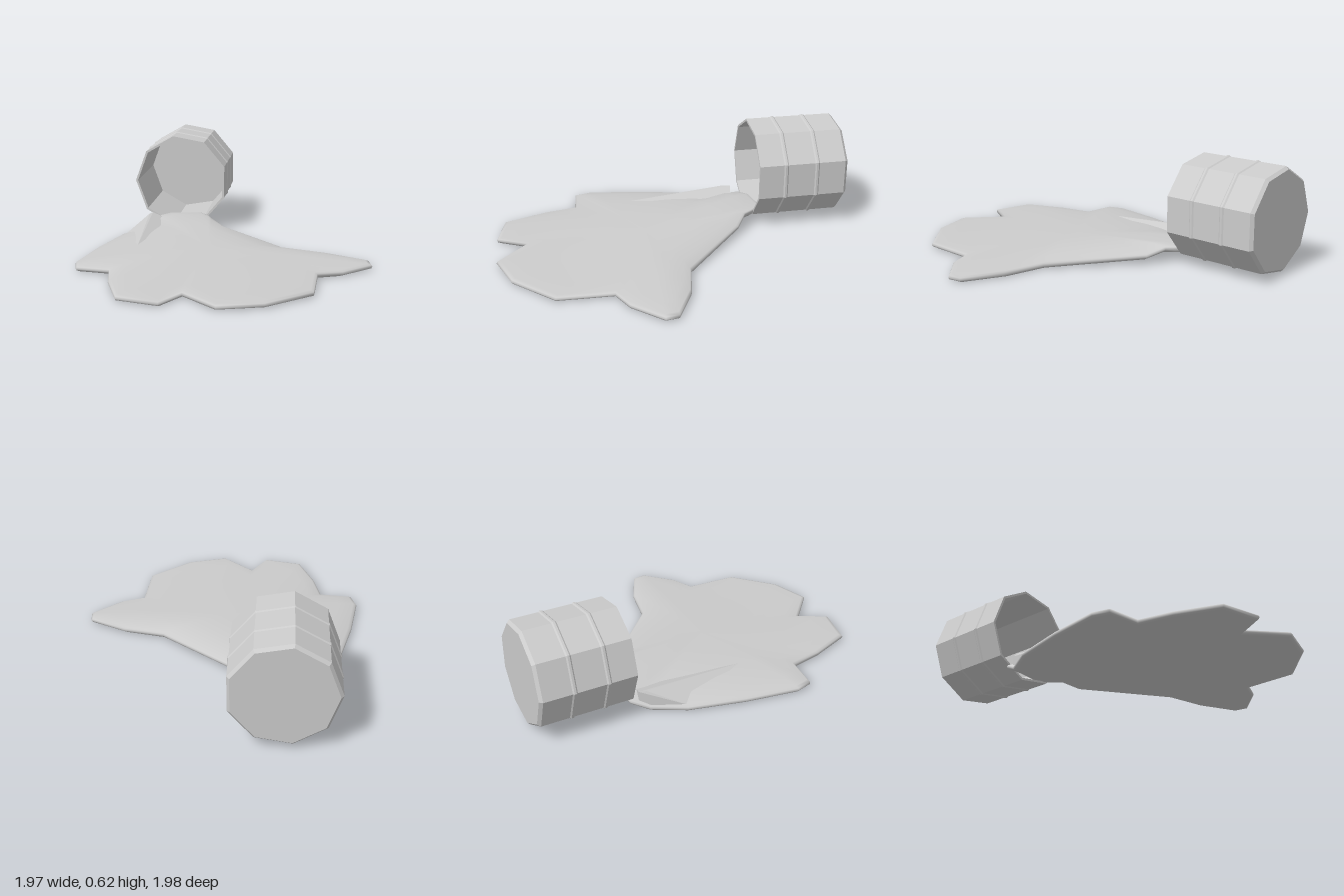
import * as THREE from 'three';
import { mergeVertices } from 'three/addons/utils/BufferGeometryUtils.js';
import { ConvexGeometry } from 'three/addons/geometries/ConvexGeometry.js';

// Puddle outline: x, z, lift of the rim (only where it runs into the barrel)
const OUTLINE = [
  [0.41, -0.13, 0.03], [0.3, 0.45, 0], [0.38, 0.69, 0], [0.4, 0.94, 0], [0.34, 0.99, 0],
  [0.12, 0.93, 0], [0, 0.84, 0], [-0.28, 0.995, 0], [-0.59, 0.9, 0], [-0.775, 0.73, 0],
  [-0.72, 0.465, 0], [-0.915, 0.47, 0], [-0.985, 0.24, 0], [-0.82, 0.03, 0], [-0.67, -0.11, 0],
  [-0.75, -0.29, 0], [-0.68, -0.365, 0], [-0.38, -0.485, 0], [-0.05, -0.585, 0], [0.16, -0.59, 0],
  [0.27, -0.605, 0.05], [0.36, -0.53, 0.075], [0.48, -0.38, 0.075], [0.45, -0.29, 0.075], [0.42, -0.24, 0.07],
];
const CENTRE = [-0.1, 0.15];
const MOUTH = new THREE.Vector3(0.366, 0.318, -0.451);

// Rings of the puddle skin from top middle, over the rounded rim, to the underside:
// scale, base height, share of the rise towards the barrel
const RINGS = [
  [0, 0.035, 0.085], [0.3, 0.035, 0.085], [0.6, 0.035, 0.075], [0.85, 0.035, 0.04],
  [0.97, 0.033, 0], [0.993, 0.026, 0], [1, 0.016, 0], [0.993, 0.006, 0], [0.97, 0, 0],
  [0.6, 0, 0.035], [0.3, 0, 0.045], [0, 0, 0.045],
];

function puddleGeometry() {
  const pos = [], index = [], n = OUTLINE.length;
  RINGS.forEach(([s, base, rise], k) => {
    OUTLINE.forEach(([ox, oz, lift], i) => {
      const x = CENTRE[0] + (ox - CENTRE[0]) * s;
      const z = CENTRE[1] + (oz - CENTRE[1]) * s;
      const near = Math.max(0, 1 - Math.hypot(x - MOUTH.x, z - MOUTH.z) / 1.5);
      pos.push(x, base + rise * near + lift * s ** 4, z);
      if (k + 1 < RINGS.length) {
        const a = k * n + i, b = k * n + (i + 1) % n;
        index.push(a, b, a + n, b, b + n, a + n);
      }
    });
  });
  const g = new THREE.BufferGeometry();
  g.setAttribute('position', new THREE.Float32BufferAttribute(pos, 3));
  g.setIndex(index);
  const merged = mergeVertices(g, 1e-5);
  merged.computeVertexNormals();
  return merged;
}

function barrelGeometry() {
  const R = 0.302, L = 0.555, wall = 0.014;
  const profile = [[0, L - 0.02], [R - wall, L - 0.02], [R - wall, 0], [R, 0]];
  // two raised hoops
  for (const y of [0.165, 0.36]) {
    profile.push([R, y - 0.014], [R + 0.006, y - 0.006], [R + 0.006, y + 0.006], [R, y + 0.014]);
  }
  // bevelled closed end
  profile.push([R, L - 0.018], [R - 0.016, L], [0, L]);
  return new THREE.LatheGeometry(profile.map(([r, y]) => new THREE.Vector2(r, y)), 9);
}

export function createModel() {
  const group = new THREE.Group();
  const smooth = new THREE.MeshStandardMaterial({ color: 0xcccccc, side: THREE.DoubleSide });
  const flat = new THREE.MeshStandardMaterial({ color: 0xcccccc, flatShading: true });

  const add = (name, geometry, material) => {
    const mesh = new THREE.Mesh(geometry, material);
    mesh.name = name;
    group.add(mesh);
    return mesh;
  };

  // Nine-sided barrel lying on its side, mouth towards the puddle
  const barrel = add('barrel', barrelGeometry(), flat);
  const axis = new THREE.Vector3(0.857, 0, -0.515).normalize();
  const side = new THREE.Vector3(axis.z, 0, -axis.x);
  barrel.quaternion.setFromRotationMatrix(
    new THREE.Matrix4().makeBasis(new THREE.Vector3(0, 1, 0), axis, side));
  barrel.position.copy(MOUTH);

  // Spilled liquid
  add('puddle', puddleGeometry(), smooth);

  // Steep fold where the spill leaves the mouth
  const fold = [
    [-0.33, 0.082, -0.2], [0.265, 0.07, -0.45], [0.18, 0.118, -0.565], [0.225, 0.118, -0.575],
    [0.18, 0.025, -0.57], [0.225, 0.025, -0.58], [-0.05, 0.03, -0.56],
  ].map((p) => new THREE.Vector3(...p));
  add('puddleFold', new ConvexGeometry(fold), flat);

  return group;
}
